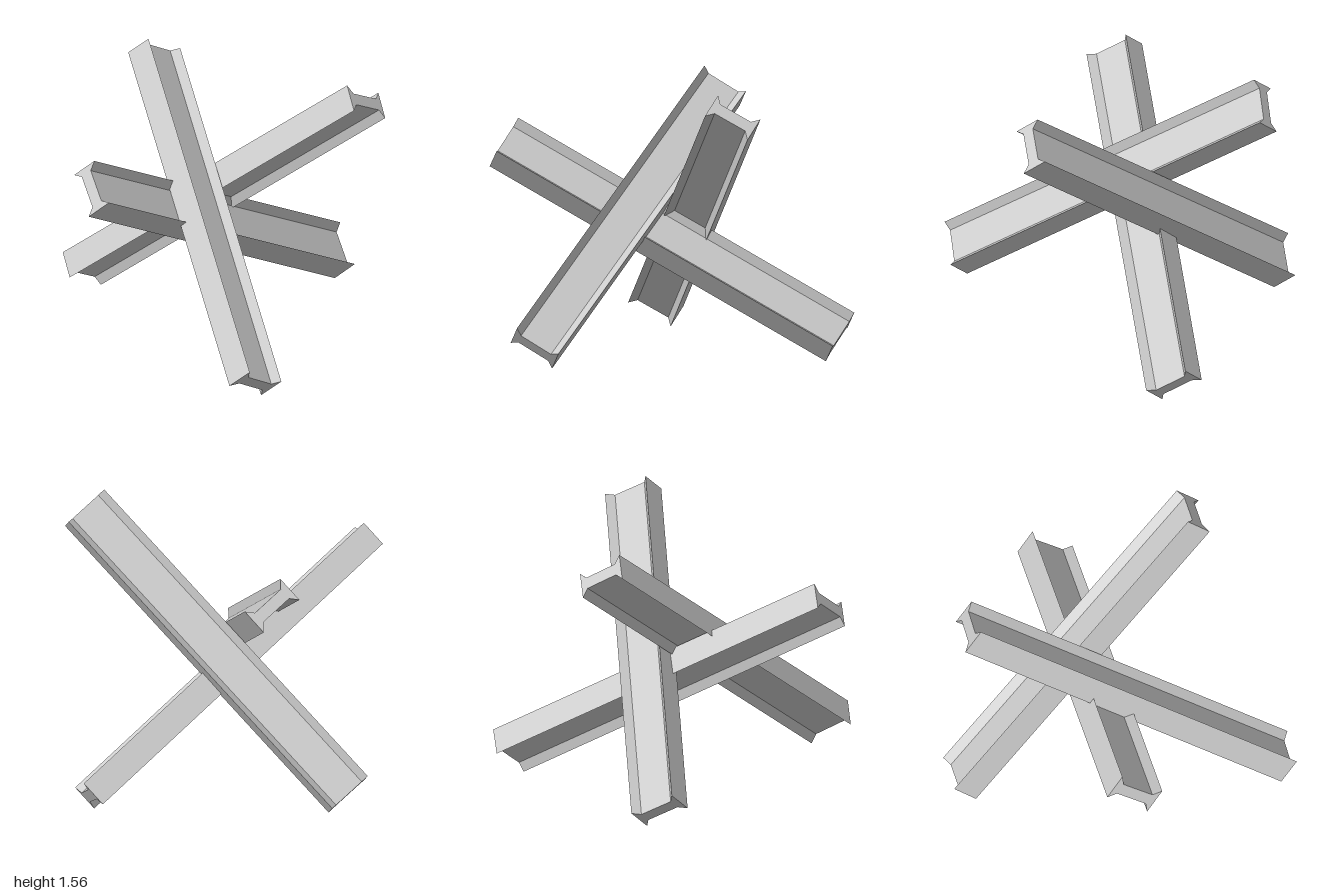
import * as THREE from 'three';

// Half sizes of the I-section, and how far the grooves sit in from the corners
const HALF_WIDTH = 0.133, HALF_DEPTH = 0.077, LIP = 0.037, GROOVE = 0.043;
const LENGTH = 2.118;

// I-section with tapered flanges: a trapezoidal groove in each wide side
function beamGeometry() {
  const w = HALF_WIDTH, d = HALF_DEPTH, wi = w - LIP, di = d - GROOVE;
  const profile = new THREE.Shape([
    [-w, -d], [-wi, -di], [wi, -di], [w, -d],
    [w, d], [wi, di], [-wi, di], [-w, d],
  ].map(([x, y]) => new THREE.Vector2(x, y)));
  const geometry = new THREE.ExtrudeGeometry(profile, { depth: LENGTH, bevelEnabled: false });
  return geometry.translate(0, 0, -LENGTH / 2);
}

// Each beam: centre, direction along its length, direction across its wide side
const BEAMS = [
  { name: 'crossBeam', centre: [0, 0.639, -0.072], along: [1.86, -1.02, 0], across: [0.084, 0.152, -0.2025] },
  { name: 'frontBeam', centre: [-0.215, 0.782, 0.075], along: [0.752, 1.197, -1.573], across: [-0.227, 0.13, -0.008] },
  { name: 'rearBeam', centre: [0.115, 0.792, -0.117], along: [0.695, 1.314, 1.505], across: [-0.234, 0.13, 0.003] },
];

export function createModel() {
  const model = new THREE.Group();
  model.name = 'beamObstacle';
  const material = new THREE.MeshStandardMaterial({ color: 0xcccccc, flatShading: true });
  const geometry = beamGeometry();

  for (const { name, centre, along, across } of BEAMS) {
    const beam = new THREE.Mesh(geometry, material);
    beam.name = name;
    // Right-handed frame: x across the web, y through it, z along the beam
    const z = new THREE.Vector3(...along).normalize();
    const y = new THREE.Vector3().crossVectors(z, new THREE.Vector3(...across)).normalize();
    const x = new THREE.Vector3().crossVectors(y, z);
    beam.quaternion.setFromRotationMatrix(new THREE.Matrix4().makeBasis(x, y, z));
    beam.position.set(...centre);
    model.add(beam);
  }
  return model;
}
